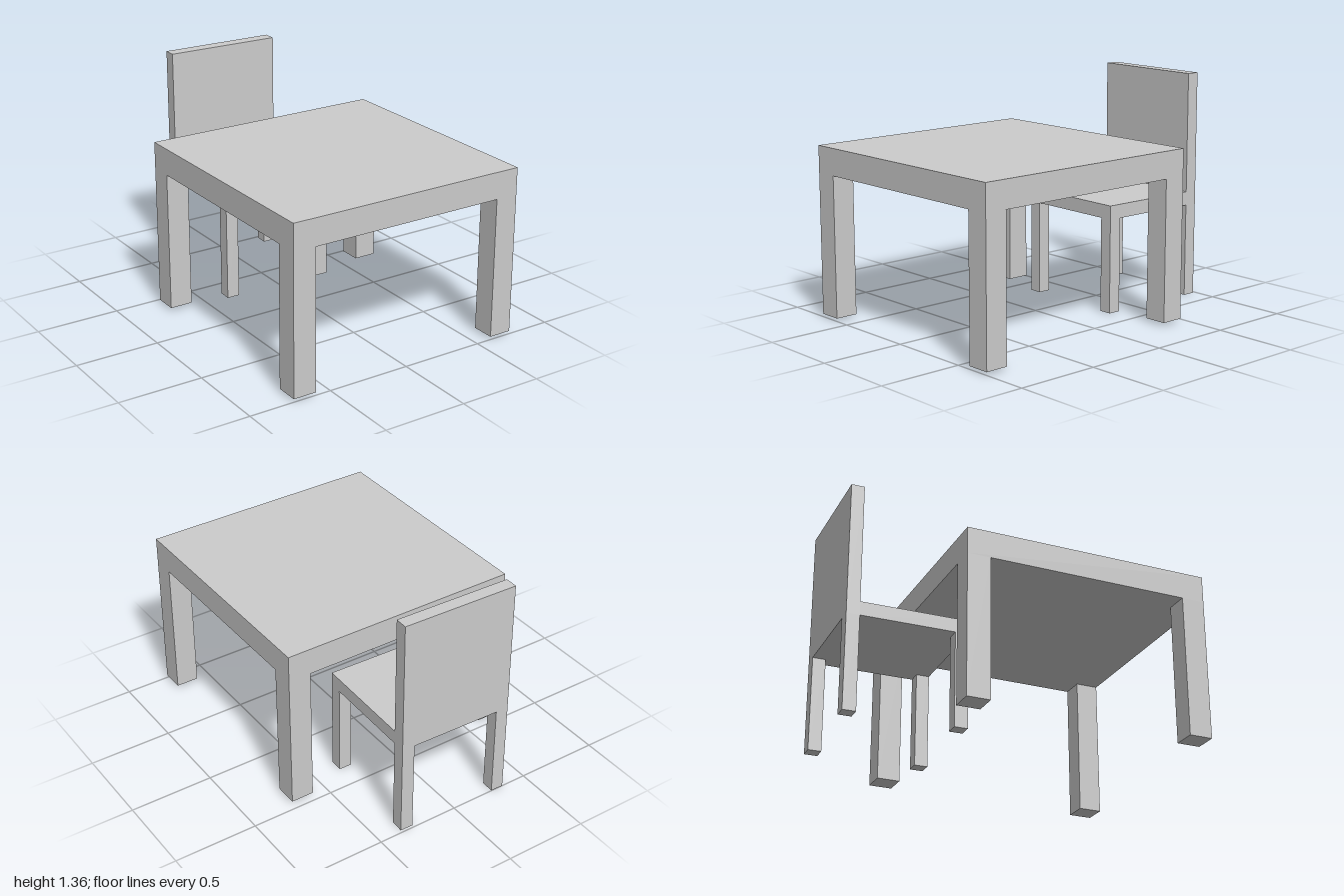
import * as THREE from 'three';

const material = new THREE.MeshStandardMaterial({ color: 0xcccccc, flatShading: true });

// Box given by its [min, max] extents on each axis
function block(name, [x0, x1], [y0, y1], [z0, z1]) {
  const mesh = new THREE.Mesh(new THREE.BoxGeometry(x1 - x0, y1 - y0, z1 - z0), material);
  mesh.position.set((x0 + x1) / 2, (y0 + y1) / 2, (z0 + z1) / 2);
  mesh.name = name;
  return mesh;
}

// Four square legs flush with the corners of a w by d rectangle
function addLegs(group, prefix, w, d, size, y0, y1) {
  for (const [sideName, sx] of [['Left', 1], ['Right', -1]]) {
    for (const [endName, sz] of [['Front', 1], ['Back', -1]]) {
      const leg = block(`${prefix}${endName}${sideName}Leg`,
        [-size / 2, size / 2], [y0, y1], [-size / 2, size / 2]);
      leg.position.x = sx * (w - size) / 2;
      leg.position.z = sz * (d - size) / 2;
      group.add(leg);
    }
  }
}

function createTable() {
  const table = new THREE.Group();
  table.name = 'table';
  const w = 1.462, d = 1.461;
  table.add(block('tableTop', [-w / 2, w / 2], [0.852, 1.011], [-d / 2, d / 2]));
  addLegs(table, 'table', w, d, 0.137, 0.018, 0.852);
  table.position.z = 0.27;
  return table;
}

function createChair() {
  const chair = new THREE.Group();
  chair.name = 'chair';
  const w = 0.7, d = 0.705, thick = 0.077, under = 0.561;
  // Seat runs forward from the backrest, which reaches down to the seat's underside
  chair.add(block('seat', [-w / 2, w / 2], [under, 0.643], [-d / 2 + thick, d / 2]));
  chair.add(block('backrest', [-w / 2, w / 2], [under, 1.359], [-d / 2, -d / 2 + thick]));
  addLegs(chair, 'chair', w, d, thick, 0, under);
  // Slightly turned, tucked under the back edge of the table
  chair.position.set(-0.003, 0, -0.639);
  chair.rotation.y = -0.0245;
  return chair;
}

export function createModel() {
  const model = new THREE.Group();
  model.name = 'tableWithChair';
  model.add(createTable(), createChair());
  return model;
}
